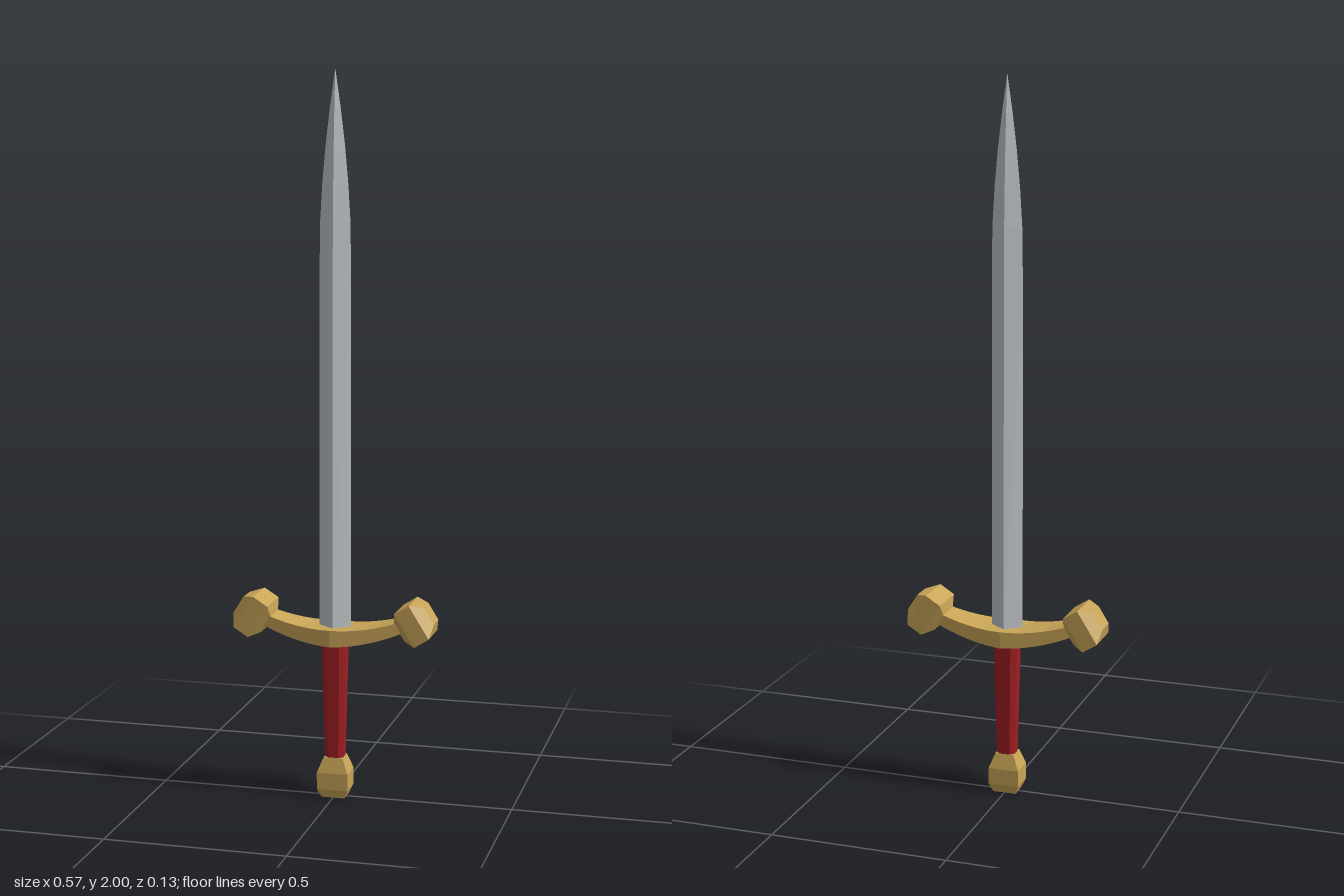
import * as THREE from 'three';

// Cross-sections as [x, z] factors, running from +z towards +x
const RECT = [[1, 1], [1, -1], [-1, -1], [-1, 1]];
const DIAMOND = [[0, 1], [1, 0], [0, -1], [-1, 0]];
const CHAMFERED = [[0.55, 1], [1, 0.55], [1, -0.55], [0.55, -1], [-0.55, -1], [-1, -0.55], [-1, 0.55], [-0.55, 1]];

// Lofts a section along y; each ring is [y, halfX, halfZ, offsetX]
function loft(section, rings) {
  const n = section.length;
  const pts = rings.map(([y, hx, hz, ox = 0]) => section.map(([x, z]) => [x * hx + ox, y, z * hz]));
  const pos = [];
  const tri = (a, b, c) => pos.push(...a, ...b, ...c);
  for (let i = 0; i < pts.length - 1; i++) {
    for (let j = 0; j < n; j++) {
      const k = (j + 1) % n;
      tri(pts[i][j], pts[i][k], pts[i + 1][k]);
      tri(pts[i][j], pts[i + 1][k], pts[i + 1][j]);
    }
  }
  const first = pts[0], last = pts[pts.length - 1];
  for (let j = 1; j < n - 1; j++) {
    tri(first[0], first[j + 1], first[j]);
    tri(last[0], last[j], last[j + 1]);
  }
  const geo = new THREE.BufferGeometry();
  geo.setAttribute('position', new THREE.Float32BufferAttribute(pos, 3));
  geo.computeVertexNormals();
  return geo;
}

function material(name, color) {
  const m = new THREE.MeshStandardMaterial({ color });
  m.name = name;
  return m;
}

export function createModel() {
  const group = new THREE.Group();
  group.name = 'sword';
  const steel = material('steel', 0xc0c5c8);
  const gold = material('gold', 0xc9a557);
  const red = material('red grip', 0xa01e22);

  const add = (name, geo, mat) => {
    const mesh = new THREE.Mesh(geo, mat);
    mesh.name = name;
    group.add(mesh);
    return mesh;
  };

  // Blade: diamond section narrowing to a point
  add('blade', loft(DIAMOND, [
    [0.46, 0.045, 0.033], [1.45, 0.044, 0.028], [1.6, 0.042, 0.026], [1.7, 0.036, 0.022],
    [1.8, 0.027, 0.017], [1.9, 0.015, 0.01], [2, 0.0005, 0.0005],
  ]), steel);

  // Grip: chamfered bar, thicker near the guard
  add('grip', loft(CHAMFERED, [[0.1, 0.026, 0.024], [0.455, 0.035, 0.03]]), red);

  // Pommel: block tapered at both ends
  add('pommel', loft(RECT, [
    [0, 0.033, 0.026], [0.025, 0.044, 0.036], [0.072, 0.044, 0.036], [0.115, 0.027, 0.025],
  ]), gold);

  // Guard: upward-curving bar, deepest in the middle
  const guardRings = [];
  for (let i = -8; i <= 8; i++) {
    const x = i * 0.025, t = Math.abs(x) / 0.2;
    guardRings.push([x, 0.0235 - 0.007 * t, 0.063 - 0.025 * t, -(0.4635 + x * x)]);
  }
  add('guard', loft(RECT, guardRings).rotateZ(-Math.PI / 2), gold);

  // Knobs on the guard ends, tilted along the curve
  for (const side of [1, -1]) {
    const knob = add(side > 0 ? 'leftGuardKnob' : 'rightGuardKnob', loft(RECT, [
      [-0.049, 0.027, 0.036], [-0.028, 0.053, 0.058], [0.02, 0.053, 0.058], [0.046, 0.027, 0.03],
    ]), gold);
    knob.position.set(side * 0.231, 0.513, 0);
    knob.rotation.z = -side * THREE.MathUtils.degToRad(58);
  }
  return group;
}
